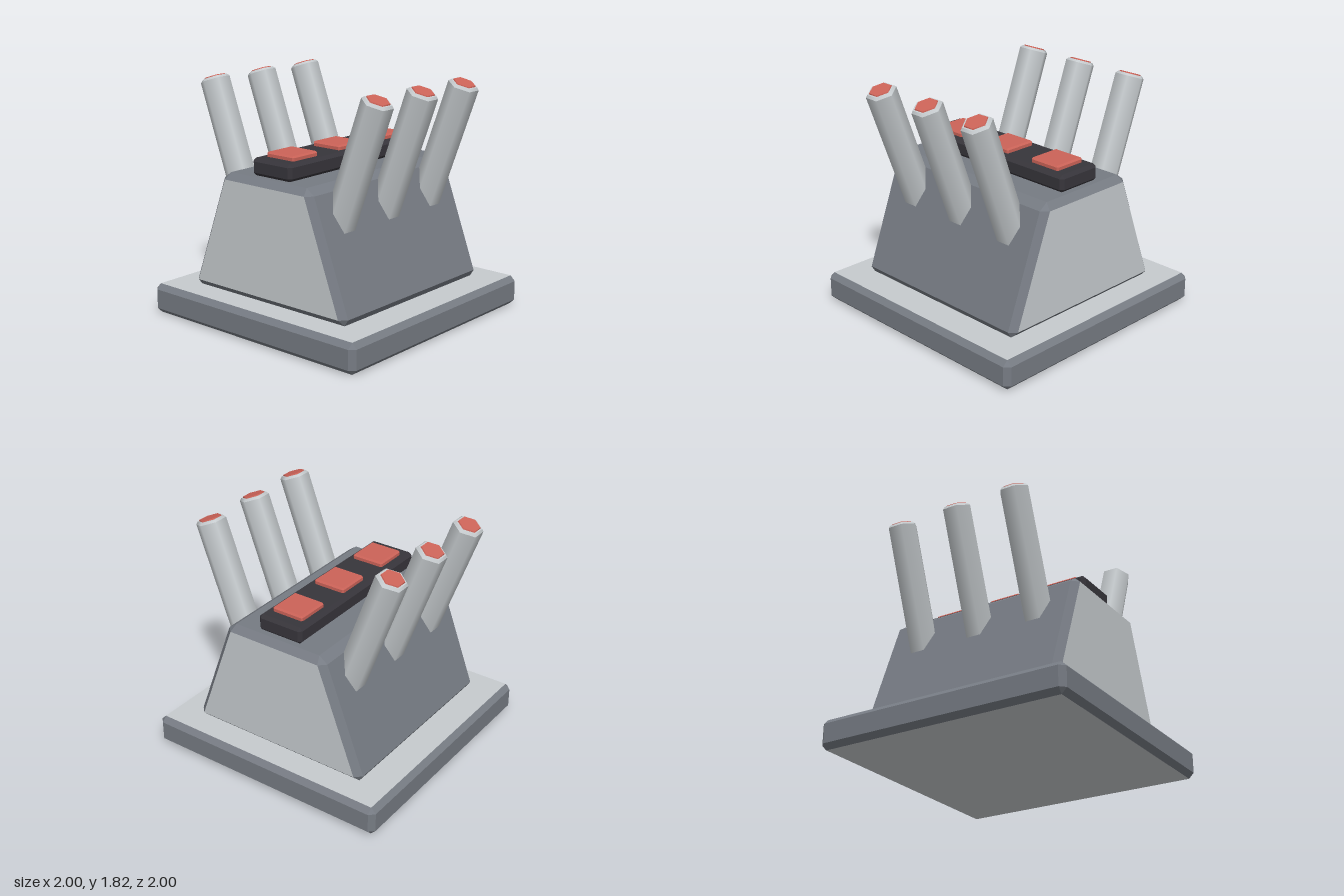
import * as THREE from 'three';

const mat = (name, color) => {
  const m = new THREE.MeshStandardMaterial({ color });
  m.name = name;
  return m;
};

// Box with every edge chamfered; faceMat gives a material index per face axis (0 x, 1 y, 2 z)
function chamferBox(size, center, c, faceMat = [0, 0, 0], warp = null) {
  const pos = [[], []];
  const mid = new THREE.Vector3(...center);
  const corner = (axis, s) => {
    const p = [0, 1, 2].map(i => center[i] + s[i] * (size[i] / 2 - (i === axis ? 0 : c)));
    const v = new THREE.Vector3(...p);
    if (warp) warp(v);
    return v;
  };
  const tri = (a, b, d, slot) => {
    const n = b.clone().sub(a).cross(d.clone().sub(a));
    const out = a.clone().add(b).add(d).divideScalar(3).sub(mid);
    const order = n.dot(out) > 0 ? [a, b, d] : [a, d, b];
    order.forEach(v => pos[slot].push(v.x, v.y, v.z));
  };
  const quad = (a, b, d, e, slot) => { tri(a, b, d, slot); tri(a, d, e, slot); };
  const sgn = [-1, 1];
  for (let a = 0; a < 3; a++) {
    const b = (a + 1) % 3, d = (a + 2) % 3;
    const at = (axis, sa, sb, sd) => {
      const s = [];
      s[a] = sa; s[b] = sb; s[d] = sd;
      return corner(axis, s);
    };
    for (const s of sgn) {
      // main face
      quad(at(a, s, -1, -1), at(a, s, 1, -1), at(a, s, 1, 1), at(a, s, -1, 1), faceMat[a]);
      // edge chamfers running along the d axis
      for (const t of sgn) quad(at(a, s, t, -1), at(a, s, t, 1), at(b, s, t, 1), at(b, s, t, -1), 0);
    }
  }
  // corner triangles
  for (const x of sgn) for (const y of sgn) for (const z of sgn) {
    const s = [x, y, z];
    tri(corner(0, s), corner(1, s), corner(2, s), 0);
  }
  const g = new THREE.BufferGeometry();
  g.setAttribute('position', new THREE.Float32BufferAttribute([...pos[0], ...pos[1]], 3));
  g.addGroup(0, pos[0].length / 3, 0);
  if (pos[1].length) g.addGroup(pos[0].length / 3, pos[1].length / 3, 1);
  g.computeVertexNormals();
  return g;
}

export function createModel() {
  const root = new THREE.Group();
  root.name = 'launcher';
  const light = mat('light grey', 0xc6cbce);
  const steel = mat('slate grey', 0x767b83);
  const dark = mat('charcoal', 0x37353b);
  const red = mat('red', 0xcc6358);

  const add = (parent, name, geo, material) => {
    const m = new THREE.Mesh(geo, material);
    m.name = name;
    parent.add(m);
    return m;
  };

  // Square plinth with light top and underside
  add(root, 'plinth', chamferBox([2, 0.23, 2], [0, 0.115, 0], 0.04, [0, 1, 0]), [steel, light]);

  // Tapered housing with light end panels
  const taper = v => { v.x += Math.sign(v.x) * (0.355 - 0.374 * v.y); };
  add(root, 'housing', chamferBox([1, 0.93, 1.61], [0, 0.695, 0], 0.05, [0, 0, 1], taper), [steel, light]);

  // Console strip on the roof
  add(root, 'console', chamferBox([0.38, 0.132, 1.46], [0, 1.224, 0], 0.025), [dark]);

  const tilt = THREE.MathUtils.degToRad(20.2);
  const length = 1.08, bevel = 0.018;
  for (const z of [-0.5, 0, 0.5]) {
    add(root, 'button', chamferBox([0.265, 0.06, 0.265], [0, 1.296, z], 0.012), [red]);

    // Hexagonal tubes leaning outwards on both sides
    for (const side of [-1, 1]) {
      const tube = new THREE.Group();
      tube.name = side > 0 ? 'leftTube' : 'rightTube';
      tube.position.set(side * 0.795, 1.785, z);
      tube.rotation.z = -side * tilt;
      root.add(tube);
      add(tube, 'barrel', new THREE.CylinderGeometry(0.117, 0.117, length, 6, 1, true), light)
        .position.y = -length / 2 - bevel;
      add(tube, 'rim', new THREE.CylinderGeometry(0.1, 0.117, bevel, 6).toNonIndexed(), light)
        .position.y = -bevel / 2;
      add(tube, 'tip', new THREE.CylinderGeometry(0.084, 0.09, 0.012, 6), red)
        .position.y = 0.002;
    }
  }
  return root;
}
